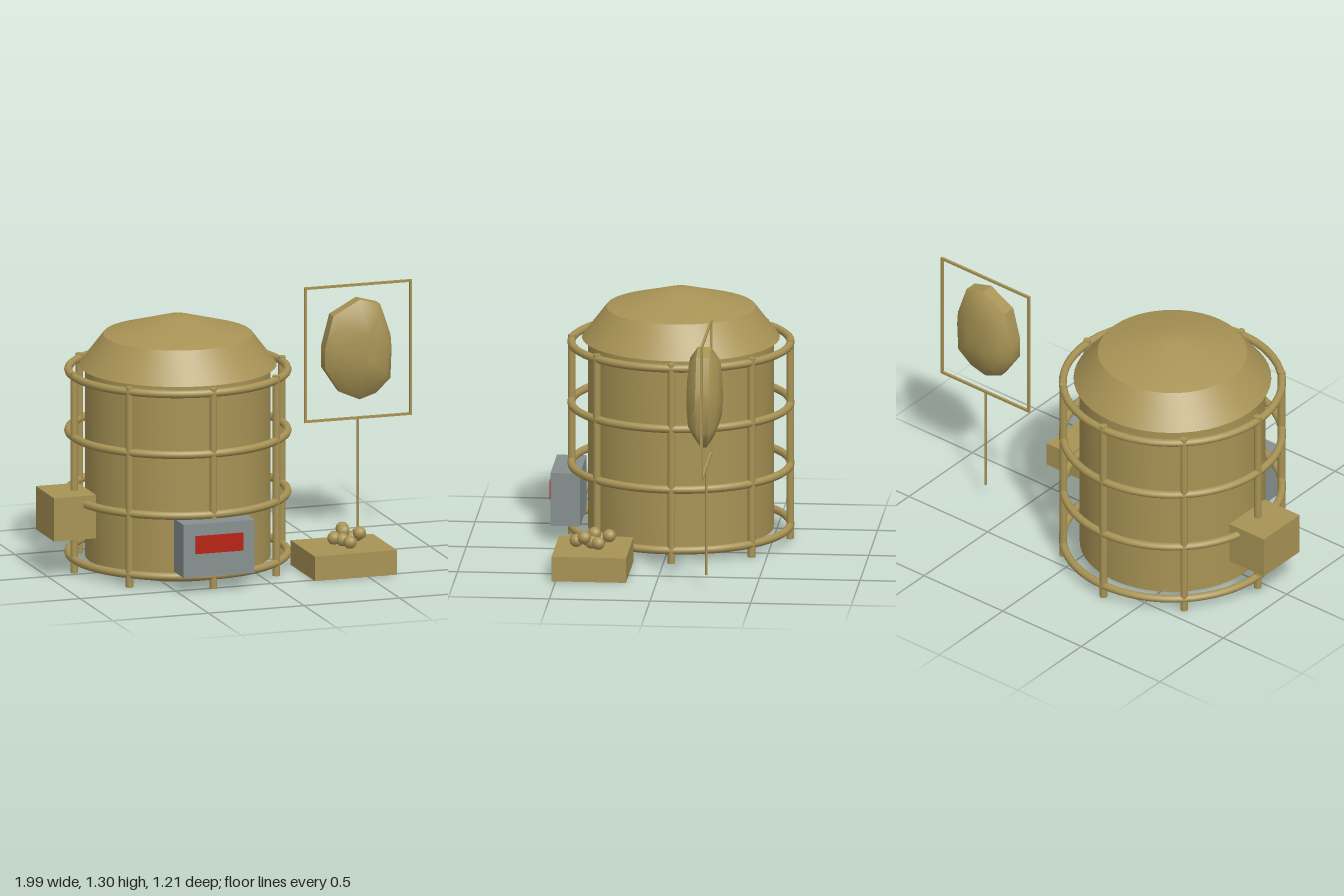
import * as THREE from 'three';
import { toCreasedNormals } from 'three/addons/utils/BufferGeometryUtils.js';

export function createModel() {
  const model = new THREE.Group();
  const paint = (name, hex) => {
    const m = new THREE.MeshStandardMaterial({ color: hex });
    m.name = name;
    return m;
  };
  const brass = paint('brass', 0xa89355);
  const grey = paint('steel grey', 0x87908f);
  const red = paint('display red', 0xb82010);

  const add = (name, geometry, material, x = 0, y = 0, z = 0, parent = model) => {
    const mesh = new THREE.Mesh(geometry, material);
    mesh.name = name;
    mesh.position.set(x, y, z);
    parent.add(mesh);
    return mesh;
  };
  // Box given by its limits on each axis
  const box = (name, material, x0, x1, y0, y1, z0, z1) => add(name,
    new THREE.BoxGeometry(x1 - x0, y1 - y0, z1 - z0), material,
    (x0 + x1) / 2, (y0 + y1) / 2, (z0 + z1) / 2);
  const lathe = (points) => toCreasedNormals(
    new THREE.LatheGeometry(points.map(([r, y]) => new THREE.Vector2(r, y)), 48), 0.4);

  // Tank with a chamfered foot and a faceted dome lid
  const tank = new THREE.Group();
  tank.name = 'tank';
  tank.position.set(-0.305, 0, -0.04);
  model.add(tank);
  add('tankBody', lathe([[0, 0], [0.37, 0], [0.46, 0.05], [0.46, 1.02], [0, 1.02]]), brass, 0, 0, 0, tank);
  add('tankLid', lathe([[0, 1.018], [0.49, 1.018], [0.37, 1.175], [0.06, 1.267], [0, 1.267]]), brass, 0, 0, 0, tank);

  // Cage of rings and upright posts around the tank
  const cageRadius = 0.543;
  for (const y of [0.065, 0.375, 0.685, 0.994]) {
    add('cageRing', new THREE.TorusGeometry(cageRadius, 0.02, 10, 64), brass, 0, y, 0, tank).rotation.x = Math.PI / 2;
  }
  for (let i = 0; i < 8; i++) {
    const a = i * Math.PI / 4;
    add('cagePost', new THREE.CylinderGeometry(0.019, 0.019, 1.018, 12), brass,
      Math.cos(a) * cageRadius, 0.509, Math.sin(a) * cageRadius, tank);
  }

  // Side box, control panel and display
  box('sideBox', brass, -1, -0.78, 0.2, 0.42, -0.18, 0.1);
  box('controlPanel', grey, -0.49, -0.12, 0.085, 0.355, 0.445, 0.592);
  box('panelDisplay', red, -0.43, -0.18, 0.205, 0.295, 0.594, 0.603);

  // Block with a small heap of pellets
  box('pelletBlock', brass, 0.22, 0.65, 0, 0.125, 0.15, 0.52);
  const pellets = [
    [0.456, 0.19, 0.25], [0.515, 0.165, 0.3], [0.4, 0.16, 0.3], [0.383, 0.165, 0.335],
    [0.435, 0.195, 0.325], [0.42, 0.16, 0.36], [0.505, 0.19, 0.37], [0.44, 0.158, 0.415], [0.475, 0.16, 0.335],
  ];
  for (const p of pellets) add('pellet', new THREE.IcosahedronGeometry(0.034, 1), brass, ...p);

  // Thin stand with a square frame
  const zs = -0.255, t = 0.006;
  add('standPole', new THREE.CylinderGeometry(t, t, 0.55, 8), brass, 0.71, 0.34, zs);
  for (const y of [0.62, 1.297]) box('frameBar', brass, 0.43, 0.992, y - t, y + t, zs - t, zs + t);
  for (const x of [0.436, 0.986]) box('frameSide', brass, x - t, x + t, 0.614, 1.303, zs - t, zs + t);

  // Pebble inside the frame: one outline shrunk in loops from back to front
  const outline = [
    [0.707, 1.23], [0.568, 1.155], [0.525, 0.995], [0.525, 0.888], [0.605, 0.765], [0.712, 0.717],
    [0.797, 0.745], [0.867, 0.82], [0.872, 0.97], [0.867, 1.04], [0.813, 1.2],
  ];
  const loops = [[0, -0.087], [0.35, -0.085], [0.78, -0.072], [1, -0.033],
    [1, 0.033], [0.78, 0.072], [0.35, 0.085], [0, 0.087]];
  const n = outline.length, cx = 0.705, cy = 0.97;
  const positions = [], indices = [];
  loops.forEach(([s, z], j) => outline.forEach(([ox, oy], i) => {
    const y = cy + (oy - cy) * s;
    const taper = Math.min(1, 0.3 + Math.max(0, y - 0.717) * 6);
    positions.push(cx + (ox - cx) * s, y, -0.246 + z * taper);
    if (j === loops.length - 1) return;
    const a = j * n + i, b = j * n + (i + 1) % n;
    if (s > 0) indices.push(a, a + n, b);
    if (loops[j + 1][0] > 0) indices.push(b, a + n, b + n);
    else indices.push();
  }));
  // Outline runs anticlockwise seen from the front, so flip to face outward
  for (let k = 0; k < indices.length; k += 3) {
    [indices[k + 1], indices[k + 2]] = [indices[k + 2], indices[k + 1]];
  }
  const pebble = new THREE.BufferGeometry();
  pebble.setAttribute('position', new THREE.Float32BufferAttribute(positions, 3));
  pebble.setIndex(indices);
  pebble.computeVertexNormals();
  add('framedPebble', toCreasedNormals(pebble, 0.75), brass);

  return model;
}
